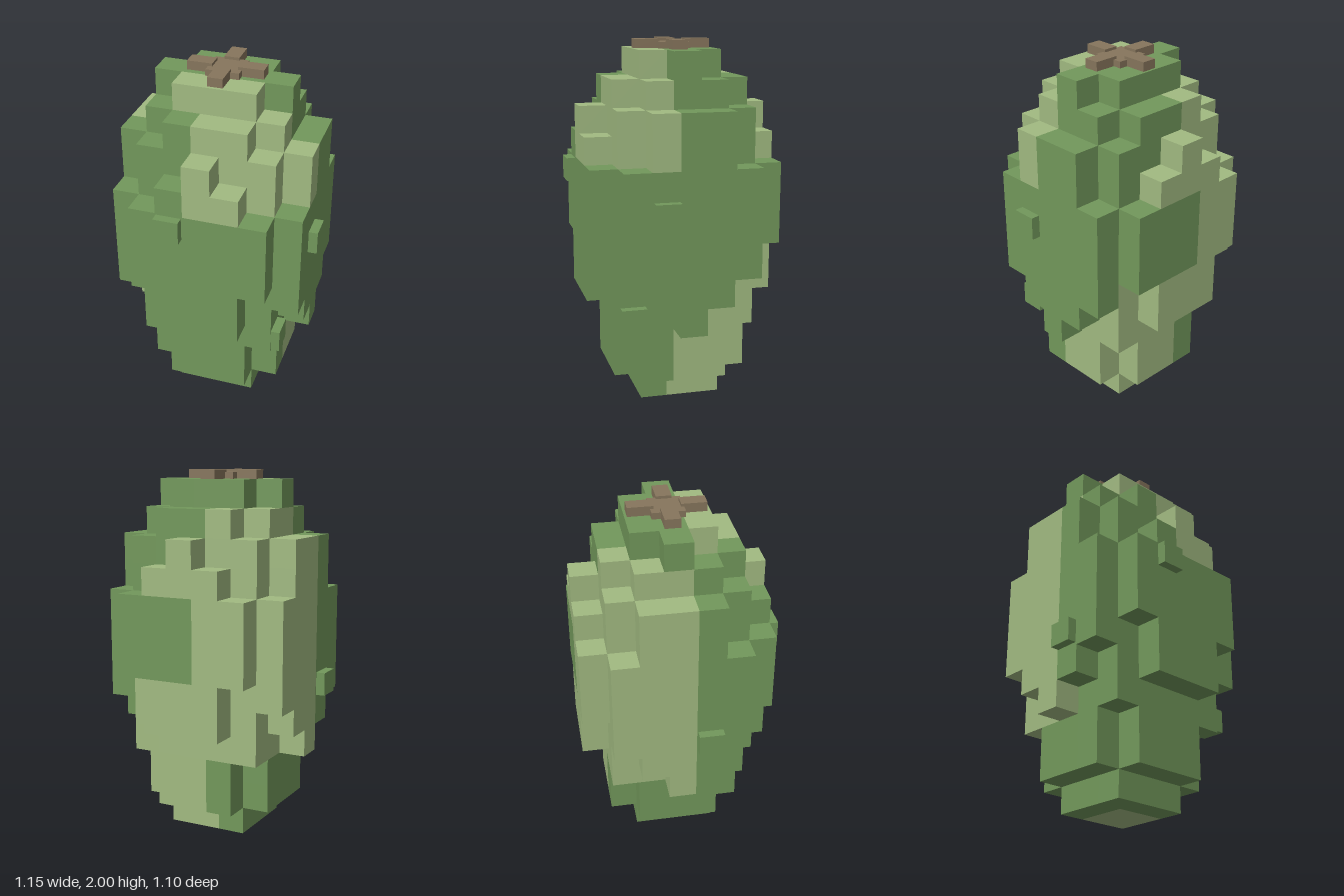
import * as THREE from 'three';
import { mergeGeometries } from 'three/addons/utils/BufferGeometryUtils.js';

const S = 0.15; // block size
const NX = 7, NY = 13, NZ = 7;
const ORIGIN = new THREE.Vector3(-0.525, 0, -0.55);

// Is there a block in column i (x), layer j (y), row k (z)?
// a, b: distance from the central block in x and z
function filled(i, j, k) {
  if (i < 0 || j < 0 || k < 0 || i >= NX || j >= NY || k >= NZ) return false;
  const a = Math.abs(i - 3), b = Math.abs(k - 3);
  if (j === 0) return a <= 1 && b <= 1;
  if (j <= 2 || j === 11) return a <= 2 && b <= 2 && a + b < 4;
  if (j === 12) return b <= 1 && a <= (b === 0 ? 2 : 1);
  if (a <= 2 && b <= 2) return true;
  // side bulges: half-width of the outer slab per layer (-1 = none)
  const sideX = [0, 1, 2, 2, 2, 2, 1, 1][j - 3];
  const sideZ = [-1, 1, 1, 2, 2, 2, 1, 0][j - 3];
  return (a === 3 && b <= sideX) || (b === 3 && a <= sideZ);
}

// Light patches of the skin
function isLight(i, j, k) {
  if (k >= 4) return j >= 9 && (i >= 3 || (j === 12 && k === 4 && i === 2));
  if (i <= 2) return j >= 3 && j <= 11;
  if (i <= 5 && j <= 5) return true;
  return k === 0 && i <= 4 && j >= 9;
}

// Outward directions with the turn that points a +z plane that way
const SIDES = [
  [1, 0, 0, 0, Math.PI / 2], [-1, 0, 0, 0, -Math.PI / 2],
  [0, 1, 0, -Math.PI / 2, 0], [0, -1, 0, Math.PI / 2, 0],
  [0, 0, 1, 0, 0], [0, 0, -1, 0, Math.PI],
];

// Exposed block faces of one tone
function skin(light) {
  const faces = [];
  for (let i = 0; i < NX; i++) for (let j = 0; j < NY; j++) for (let k = 0; k < NZ; k++) {
    if (!filled(i, j, k) || isLight(i, j, k) !== light) continue;
    for (const [dx, dy, dz, rx, ry] of SIDES) {
      if (filled(i + dx, j + dy, k + dz)) continue;
      faces.push(new THREE.PlaneGeometry(S, S).rotateX(rx).rotateY(ry).translate(
        ORIGIN.x + (i + 0.5 + dx / 2) * S,
        ORIGIN.y + (j + 0.5 + dy / 2) * S,
        ORIGIN.z + (k + 0.5 + dz / 2) * S));
    }
  }
  return mergeGeometries(faces);
}

export function createModel() {
  const group = new THREE.Group();
  const material = (name, color) => {
    const m = new THREE.MeshStandardMaterial({ color });
    m.name = name;
    return m;
  };
  const dark = material('dark green', 0x72985b);
  const pale = material('light green', 0xa1ba81);
  const brown = material('stem brown', 0x86755c);

  const add = (name, geometry, mat) => {
    const mesh = new THREE.Mesh(geometry, mat);
    mesh.name = name;
    group.add(mesh);
  };
  // Box given by its limits on each axis
  const box = (name, [x0, x1], [y0, y1], [z0, z1], mat) => add(name,
    new THREE.BoxGeometry(x1 - x0, y1 - y0, z1 - z0)
      .translate((x0 + x1) / 2, (y0 + y1) / 2, (z0 + z1) / 2), mat);

  // Body
  add('darkSkin', skin(false), dark);
  add('lightSkin', skin(true), pale);

  // Small bumps on the skin
  box('frontBump', [-0.22, -0.082], [1.213, 1.342], [0.48, 0.55], dark);
  box('upperSideBump', [0.5, 0.575], [1.063, 1.192], [0.055, 0.193], dark);
  box('lowerSideBump', [0.355, 0.425], [0.463, 0.592], [0.207, 0.345], dark);
  box('otherSideBump', [-0.575, -0.5], [0.765, 0.893], [0.055, 0.193], dark);

  // Stem: low centre with four raised arms
  box('stemCentre', [-0.093, 0.09], [1.95, 1.985], [-0.117, 0.061], brown);
  for (const s of [-1, 1]) {
    const zc = -0.027;
    const x = [0.07 * s, 0.209 * s].sort((p, q) => p - q);
    const z = [zc + 0.072 * s, zc + 0.209 * s].sort((p, q) => p - q);
    box('stemArm', x, [1.95, 2], [zc - 0.042, zc + 0.042], brown);
    box('stemArm', [-0.042, 0.042], [1.95, 2], z, brown);
  }
  return group;
}
